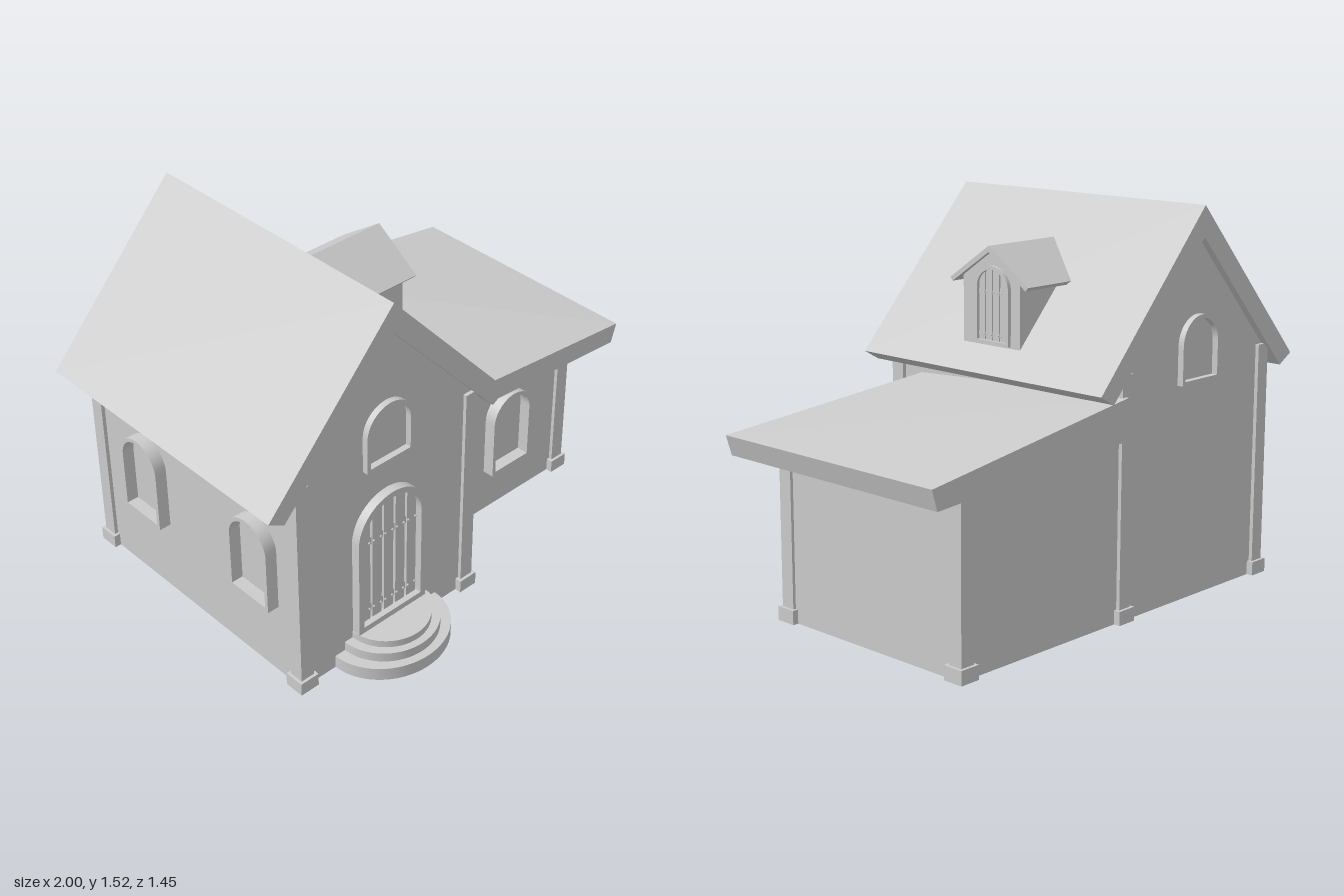
import * as THREE from 'three';
import { toCreasedNormals } from 'three/addons/utils/BufferGeometryUtils.js';

const mat = new THREE.MeshStandardMaterial({ color: 0xcccccc });
const wallMat = new THREE.MeshStandardMaterial({ color: 0xcccccc, side: THREE.DoubleSide });
const RIDGE_X = -0.42, RIDGE_Y = 1.52, SLOPE = 1.095;

function add(parent, name, geometry, x = 0, y = 0, z = 0, material = mat) {
  const mesh = new THREE.Mesh(geometry, material);
  mesh.name = name;
  mesh.position.set(x, y, z);
  parent.add(mesh);
  return mesh;
}

const polygon = (pts) => new THREE.Shape(pts.map(([x, y]) => new THREE.Vector2(x, y)));

function extrude(shape, depth, curveSegments = 12) {
  const g = new THREE.ExtrudeGeometry(shape, { depth, bevelEnabled: false, curveSegments });
  return toCreasedNormals(g, 0.6);
}

// Round-topped outline, inset by t from a w x h opening
function arch(w, h, t, Type) {
  const r = w / 2 - t, spring = h - w / 2;
  const s = new Type();
  s.moveTo(-r, t);
  s.lineTo(r, t);
  s.lineTo(r, spring);
  s.absarc(0, spring, r, 0, Math.PI, false);
  s.closePath();
  return s;
}

// Arched frame facing +z, reaching slightly into the wall behind it
function archFrame(name, w, h, t, depth) {
  const group = new THREE.Group();
  group.name = name;
  const shape = arch(w, h, 0, THREE.Shape);
  shape.holes.push(arch(w, h, t, THREE.Path));
  add(group, name + 'Frame', extrude(shape, depth + 0.01), 0, 0, -0.01);
  return group;
}

// Arched frame filled with planks, cross rails and nails
function plankDoor(name, w, h, t, depth, count, nailYs) {
  const group = archFrame(name, w, h, t, depth);
  const r = w / 2 - t, spring = h - w / 2, step = 2 * r / count, gap = step * 0.1;
  for (let i = 0; i < count; i++) {
    const x0 = -r + i * step + gap, x1 = -r + (i + 1) * step - gap;
    const pts = [[x0, t], [x1, t]];
    for (let k = 0; k <= 5; k++) {
      const x = x1 + (x0 - x1) * k / 5;
      pts.push([x, spring + Math.sqrt(r * r - x * x)]);
    }
    add(group, 'plank', extrude(polygon(pts), depth * 0.35));
    for (const y of nailYs) for (const x of [x0 + gap, x1 - gap])
      add(group, 'nail', new THREE.SphereGeometry(w * 0.016, 8, 6), x, y, depth * 0.38);
  }
  for (const y of nailYs)
    add(group, 'rail', new THREE.BoxGeometry(2 * r, w * 0.1, depth * 0.2), 0, y, depth * 0.08);
  return group;
}

function place(parent, object, x, y, z, turn = 0) {
  object.position.set(x, y, z);
  object.rotation.y = turn;
  parent.add(object);
}

// Flat wall standing on the line from (x0,z0) to (x1,z1)
function sideWall(parent, name, x0, z0, x1, z1, bottom, top) {
  const g = new THREE.PlaneGeometry(Math.hypot(x1 - x0, z1 - z0), top - bottom);
  const wall = add(parent, name, g, (x0 + x1) / 2, (bottom + top) / 2, (z0 + z1) / 2, wallMat);
  wall.rotation.y = Math.atan2(-(z1 - z0), x1 - x0);
}

function post(parent, x, z, height) {
  add(parent, 'cornerPost', new THREE.BoxGeometry(0.06, height, 0.06), x, height / 2, z);
  add(parent, 'postBase', new THREE.BoxGeometry(0.084, 0.055, 0.084), x, 0.0275, z);
}

// Extrusion facing +x whose rear end is cut to the slope of the main roof
function dormerPart(pts, front) {
  const g = new THREE.ExtrudeGeometry(polygon(pts), { depth: 1, bevelEnabled: false });
  g.rotateY(Math.PI / 2);
  const p = g.attributes.position;
  for (let i = 0; i < p.count; i++) {
    const rear = RIDGE_X + (RIDGE_Y - 0.015 - p.getY(i)) / SLOPE;
    p.setX(i, p.getX(i) < 0.5 ? rear : front);
  }
  g.computeVertexNormals();
  return g;
}

export function createModel() {
  const house = new THREE.Group();
  house.name = 'house';

  // Main walls
  const gable = polygon([[-0.85, 0], [0.005, 0], [0.005, 0.95], [RIDGE_X, 1.41], [-0.85, 0.94]]);
  add(house, 'frontGableWall', new THREE.ShapeGeometry(gable), 0, 0, 0.49, wallMat);
  add(house, 'backGableWall', new THREE.ShapeGeometry(gable), 0, 0, -0.69, wallMat);
  sideWall(house, 'leftHandWall', -0.85, 0.49, -0.85, -0.69, 0, 0.94);
  sideWall(house, 'porchSideWall', 0.005, 0.49, 0.005, 0.215, 0, 0.95);
  sideWall(house, 'upperSideWall', 0.005, 0.215, 0.005, -0.69, 0.7, 0.95);

  // Annex walls
  const annex = polygon([[0.005, 0], [0.84, 0], [0.84, 0.65], [0.005, 0.71]]);
  add(house, 'annexFrontWall', new THREE.ShapeGeometry(annex), 0, 0, 0.215, wallMat);
  add(house, 'annexBackWall', new THREE.ShapeGeometry(annex), 0, 0, -0.69, wallMat);
  sideWall(house, 'annexSideWall', 0.84, 0.215, 0.84, -0.69, 0, 0.65);

  // Corner posts
  for (const x of [-0.835, -0.007]) for (const z of [0.475, -0.675]) post(house, x, z, 0.94);
  for (const z of [0.2, -0.675]) post(house, 0.822, z, 0.65);

  // Main roof
  const roof = polygon([[RIDGE_X, RIDGE_Y], [-1, 0.885], [-0.93, 0.845], [RIDGE_X, 1.4], [0.09, 0.845], [0.16, 0.885]]);
  add(house, 'mainRoof', extrude(roof, 1.24), 0, 0, -0.72);

  // Annex roof: a slab whose inner edge rises toward the back
  let slab = new THREE.BoxGeometry(1, 1, 1);
  const index = slab.index.array;
  index.set([8, 10, 11, 8, 11, 9], 12);
  slab = slab.toNonIndexed();
  const p = slab.attributes.position;
  for (let i = 0; i < p.count; i++) {
    const outer = p.getX(i) > 0, top = p.getY(i) > 0, front = p.getZ(i) > 0;
    const x = outer ? (top ? 1 : 0.975) : 0.006;
    const y = outer ? (top ? 0.715 : 0.635) : (top ? (front ? 0.8 : 0.86) : 0.7);
    p.setXYZ(i, x, y, front ? 0.35 : -0.72);
  }
  slab.computeVertexNormals();
  add(house, 'annexRoof', slab);

  // Front door and rounded steps
  place(house, plankDoor('frontDoor', 0.34, 0.595, 0.025, 0.037, 5, [0.075, 0.395]), -0.425, 0.125, 0.49);
  [[0.26, 0.235, 0, 0.055], [0.212, 0.202, 0.055, 0.095], [0.173, 0.172, 0.095, 0.125]].forEach(([rx, rz, y0, y1]) => {
    const half = new THREE.Shape();
    half.absellipse(0, 0, rx, rz, Math.PI, 2 * Math.PI, false);
    half.closePath();
    const g = extrude(half, y1 - y0, 24);
    g.rotateX(-Math.PI / 2);
    add(house, 'step', g, -0.425, y0, 0.49);
  });

  // Windows
  const gableWindow = () => archFrame('gableWindow', 0.225, 0.26, 0.015, 0.025);
  const tallWindow = () => archFrame('tallWindow', 0.22, 0.365, 0.016, 0.05);
  place(house, gableWindow(), -0.427, 0.85, 0.49);
  place(house, gableWindow(), -0.427, 0.85, -0.69, Math.PI);
  place(house, tallWindow(), 0.495, 0.2, 0.215);
  for (const z of [0.26, -0.38]) place(house, tallWindow(), -0.85, 0.325, z, -Math.PI / 2);

  // Dormer
  const dormer = new THREE.Group();
  dormer.name = 'dormer';
  dormer.position.z = -0.1;
  add(dormer, 'dormerBody', dormerPart([[-0.147, 0.97], [0.147, 0.97], [0.147, 1.235], [0, 1.338], [-0.147, 1.235]], 0.075));
  add(dormer, 'dormerRoof', dormerPart([[0, 1.36], [-0.202, 1.222], [-0.19, 1.208], [0, 1.336], [0.19, 1.208], [0.202, 1.222]], 0.092));
  place(dormer, plankDoor('dormerShutter', 0.176, 0.3, 0.014, 0.016, 4, [0.035, 0.197]), 0.075, 0.985, -0.012, Math.PI / 2);
  house.add(dormer);

  return house;
}
